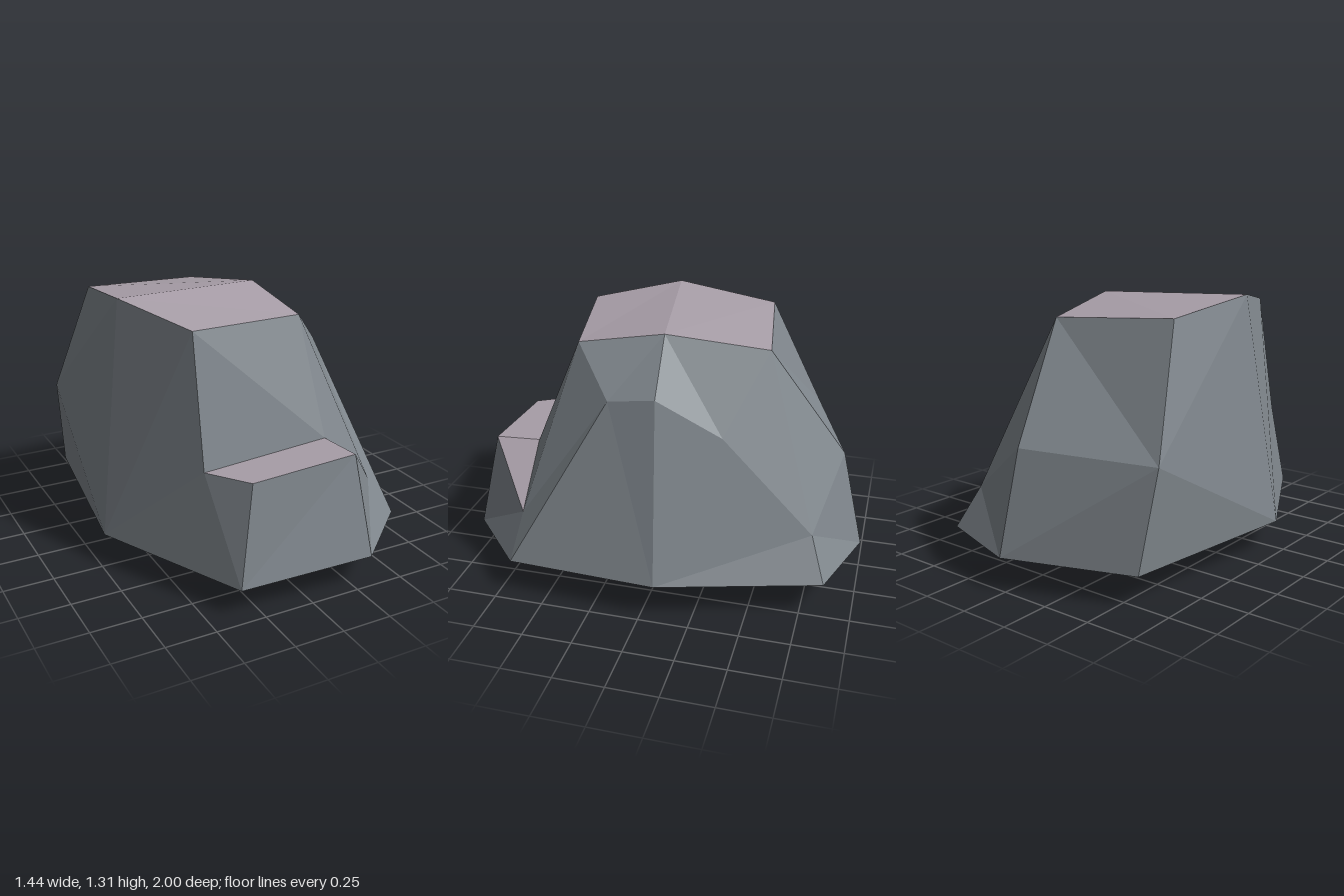
import * as THREE from 'three';

// Corner points of the boulder, grouped by level
const P = {
  // foot ring, clockwise from the front left corner
  footA: [0.32, 0.16, 1.0], footB: [0.67, 0.17, 0.69], footC: [0.72, 0.18, -0.07],
  footD: [0.48, 0.17, -0.86], footE: [0.03, 0.16, -1.0], footF: [-0.59, 0.15, -0.76],
  footH: [-0.72, 0.155, 0.22], footI: [-0.35, 0.135, 0.95],
  base: [0.22, 0, 0.02],
  // middle bends on the back and the +x flank
  midG: [-0.64, 0.64, -0.68], midK: [0.01, 0.66, -0.88], midL: [0.38, 0.38, -0.78],
  sideR1: [0.475, 1.05, -0.02], sideR2: [0.4, 0.855, -0.33], sideR3: [0.455, 1.01, 0.22],
  // front ledge
  inN1: [-0.405, 0.62, 0.69], inN2: [0.25, 0.655, 0.67],
  outM1: [-0.27, 0.625, 0.895], outM2: [0.27, 0.655, 0.895], dip: [0.525, 0.38, 0.665],
  // crown
  top1: [-0.52, 1.245, -0.41], top2: [0.11, 1.21, -0.5], top3: [0.22, 1.285, 0.0],
  top4: [-0.57, 1.31, 0.12], top5: [-0.39, 1.24, 0.55], top6: [0.23, 1.21, 0.435],
};
const point = (name) => new THREE.Vector3(...P[name]);
const core = new THREE.Vector3(0, 0.4, 0);

// Fans each polygon into triangles, wound to face away from the core
function facets(name, material, polygons) {
  const points = [];
  for (const polygon of polygons) {
    const c = polygon.split(' ').map(point);
    for (let i = 1; i < c.length - 1; i++) {
      const tri = new THREE.Triangle(c[0], c[i], c[i + 1]);
      const outward = tri.getNormal(new THREE.Vector3()).dot(tri.getMidpoint(new THREE.Vector3()).sub(core)) > 0;
      points.push(c[0], ...(outward ? [c[i], c[i + 1]] : [c[i + 1], c[i]]));
    }
  }
  const geometry = new THREE.BufferGeometry().setFromPoints(points);
  geometry.computeVertexNormals();
  const mesh = new THREE.Mesh(geometry, material);
  mesh.name = name;
  return mesh;
}

export function createModel() {
  const stone = new THREE.MeshStandardMaterial({ color: 0x80878d });
  stone.name = 'grey stone';
  const pale = new THREE.MeshStandardMaterial({ color: 0xa89ea8 });
  pale.name = 'pale mauve stone';

  const boulder = new THREE.Group();
  boulder.name = 'boulder';

  // Underside: shallow fan from the foot ring to the lowest point
  const ring = ['footA', 'footB', 'footC', 'footD', 'footE', 'footF', 'footH', 'footI'];
  const underside = ring.map((n, i) => `base ${n} ${ring[(i + 1) % ring.length]}`);

  boulder.add(
    facets('underside', stone, underside),
    facets('frontWall', stone, [
      'outM2 outM1 footI', 'outM2 footI footA', 'outM2 footA dip', 'footA footB dip',
      'top5 inN1 inN2', 'top5 inN2 top6', 'top6 inN2 dip', 'top6 dip sideR3', 'dip footB sideR3',
    ]),
    facets('leftWall', stone, [
      'top3 sideR1 sideR3 top6', 'sideR3 sideR1 footC', 'sideR3 footC footB', 'top3 sideR2 sideR1',
      'top3 top2 sideR2', 'sideR1 sideR2 footC', 'sideR2 midL footC', 'midL footD footC', 'top2 midL sideR2',
    ]),
    facets('backWall', stone, [
      'footD footE midL', 'footE midK midL', 'midK top2 midL',
      'footE footF midG midK', 'midG top1 top2 midK',
    ]),
    facets('rightWall', stone, [
      'footF footH midG', 'midG footH top4', 'midG top4 top1',
      'footH footI inN1', 'footI outM1 inN1', 'footH inN1 top5', 'footH top5 top4',
    ]),
    facets('crown', pale, ['top1 top2 top3 top4', 'top4 top3 top6 top5']),
    facets('ledge', pale, ['inN1 outM1 outM2 inN2', 'inN2 outM2 dip']),
  );
  return boulder;
}
